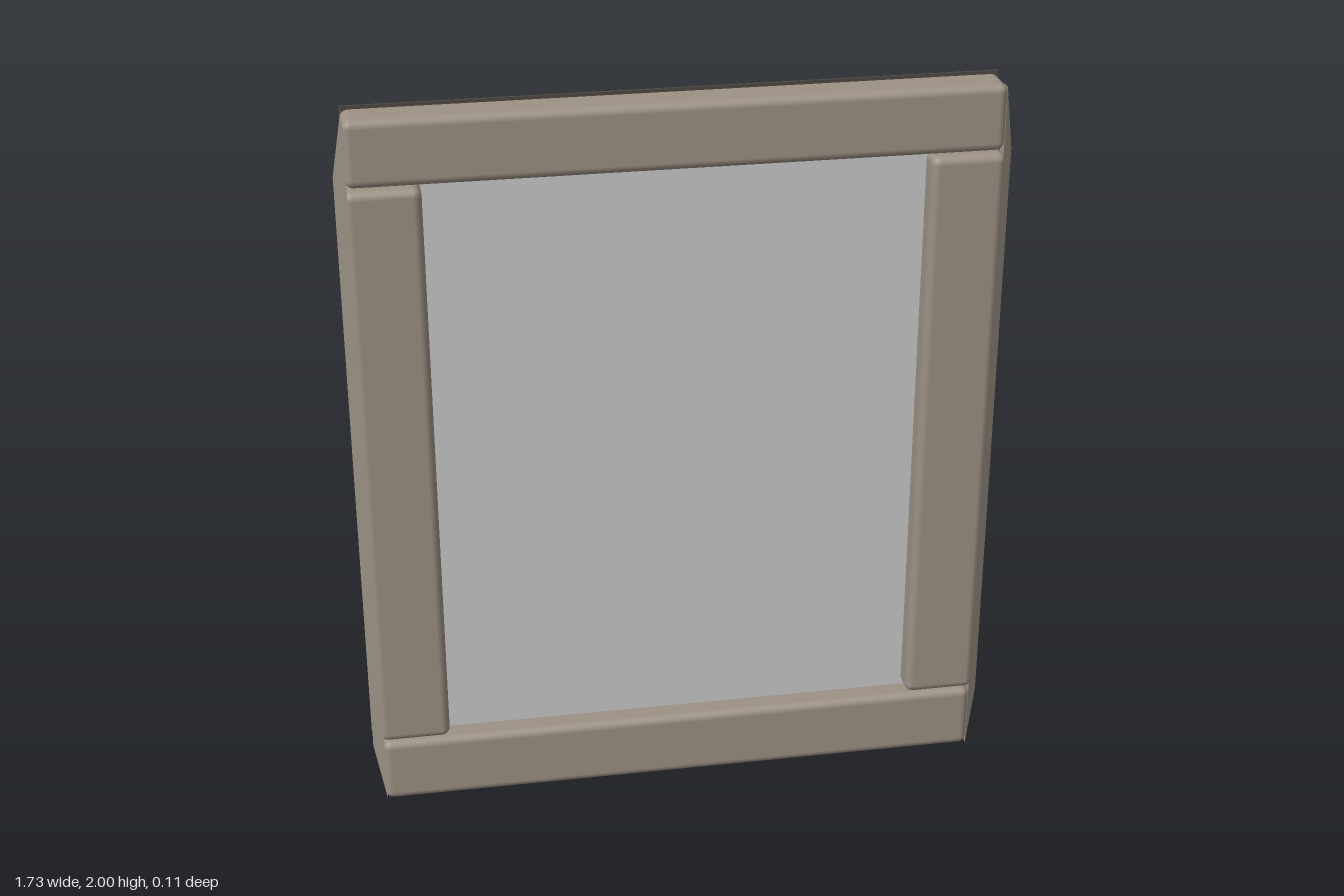
import * as THREE from 'three';
import { RoundedBoxGeometry } from 'three/addons/geometries/RoundedBoxGeometry.js';

export function createModel() {
  const group = new THREE.Group();
  const material = (name, color) => {
    const m = new THREE.MeshStandardMaterial({ color, side: THREE.DoubleSide });
    m.name = name;
    return m;
  };
  const wood = material('taupe frame', 0x9c9184);
  const dark = material('dark backing', 0x504942);
  const pane = material('light grey pane', 0xcacaca);

  const add = (name, geometry, mat) => {
    const mesh = new THREE.Mesh(geometry, mat);
    mesh.name = name;
    group.add(mesh);
    return mesh;
  };

  // Soft-edged bar between two x and two y limits, sharing one depth
  const zBack = -0.0575, zFront = 0.055;
  const bar = (name, x0, x1, y0, y1) => {
    const g = new RoundedBoxGeometry(x1 - x0, y1 - y0, zFront - zBack, 3, 0.022);
    g.translate((x0 + x1) / 2, (y0 + y1) / 2, (zFront + zBack) / 2);
    add(name, g, wood);
  };
  bar('topRail', -0.842, 0.832, 1.818, 1.995);
  bar('bottomRail', -0.842, 0.832, 0.005, 0.192);
  bar('rightStile', -0.848, -0.655, 0.197, 1.81);
  bar('leftStile', 0.643, 0.838, 0.197, 1.81);

  // Tapered ridge along an outer side: base strip at x, pointed edge at tip
  const ridge = (name, x, z1, z2, tipX, tipZ, base, tip) => {
    const a = base.map(y => [x, y, z1]);
    const b = base.map(y => [x, y, z2]);
    const t = tip.map(y => [tipX, y, tipZ]);
    const faces = [
      a[0], t[0], t[1], a[0], t[1], a[1],
      b[0], t[1], t[0], b[0], b[1], t[1],
      a[0], b[0], t[0], a[1], t[1], b[1],
    ];
    // Reverse the corners on the side that faces -x
    if (tipX < 0) for (let i = 0; i < faces.length; i += 3) {
      [faces[i + 1], faces[i + 2]] = [faces[i + 2], faces[i + 1]];
    }
    // Corners run so that the front slope faces outward
    for (let i = 0; i < faces.length; i += 3) {
      [faces[i + 1], faces[i + 2]] = [faces[i + 2], faces[i + 1]];
    }
    const g = new THREE.BufferGeometry();
    g.setAttribute('position', new THREE.Float32BufferAttribute(faces.flat(), 3));
    g.computeVertexNormals();
    add(name, g, wood);
  };
  const long = [0.01, 1.99], short = [0.18, 1.82];
  ridge('rightFrontRidge', -0.838, 0.053, 0.02, -0.868, 0.036, long, short);
  ridge('rightBackRidge', -0.838, -0.025, -0.055, -0.868, -0.043, long, short);
  ridge('leftFrontRidge', 0.828, 0.053, 0.02, 0.853, 0.036, long, short);
  ridge('leftBackFlap', 0.828, 0.0, zBack, 0.862, zBack, [0.02, 1.85], [0.16, 1.85]);

  // Backing sheet, visible as a dark rim around the frame
  const backing = add('backing', new THREE.BoxGeometry(1.675, 2, 0.006), dark);
  backing.position.set(-0.005, 1, -0.0538);

  // Recessed pane inside the frame
  const glass = add('pane', new THREE.BoxGeometry(1.32, 1.65, 0.006), pane);
  glass.position.set(-0.006, 1.005, -0.011);

  return group;
}
